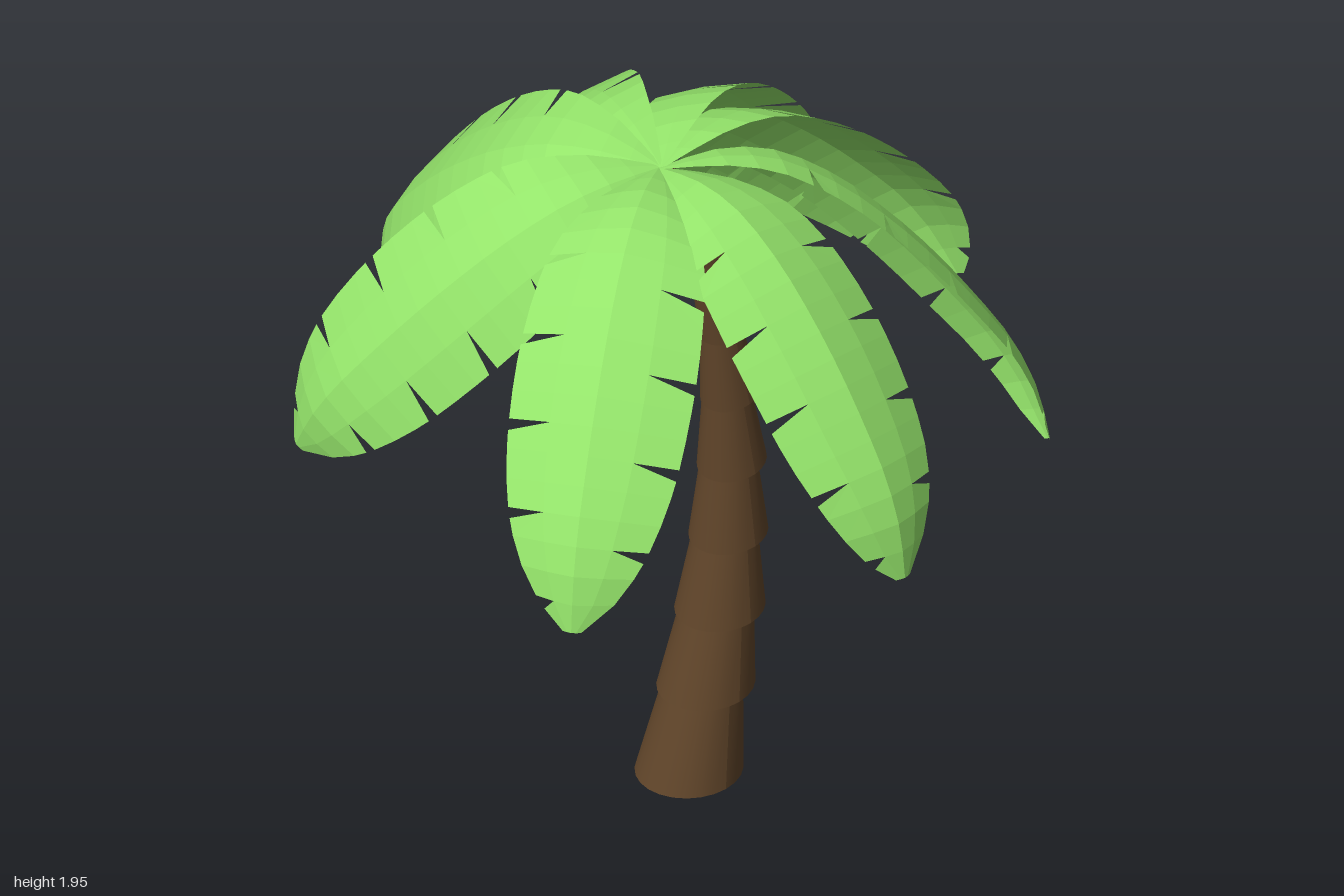
import * as THREE from 'three';

const bark = new THREE.MeshStandardMaterial({ color: 0x5f4429 });
const leaf = new THREE.MeshStandardMaterial({ color: 0x94e46a, flatShading: true, side: THREE.DoubleSide });
const DEG = Math.PI / 180;

// Trunk rings: bottom centre x, y, z, bottom radius, slope of the ring plane
const RINGS = [
  [-0.018, 0.008, 0.068, 0.143, 0.05],
  [0.04, 0.25, 0.07, 0.13, 0.08],
  [0.09, 0.47, 0.07, 0.12, 0.1],
  [0.12, 0.69, 0.07, 0.105, 0.13],
  [0.132, 0.905, 0.07, 0.092, 0.17],
  [0.125, 1.12, 0.07, 0.078, 0.22],
  [0.105, 1.33, 0.07, 0.066, 0.25],
  [0.065, 1.52, 0.065, 0.056, 0.3],
  [0.005, 1.7, 0.05, 0.047, 0.35],
  [-0.075, 1.88, 0.035, 0.04, 0.4],
];

// One tapered trunk section, sheared so that it runs from ring a to ring b
function trunkSection(a, b) {
  const geo = new THREE.CylinderGeometry(b[3] * 0.82, a[3], 1, 24);
  const pos = geo.attributes.position;
  const mix = THREE.MathUtils.lerp;
  for (let i = 0; i < pos.count; i++) {
    const x = pos.getX(i), z = pos.getZ(i), f = pos.getY(i) + 0.5;
    pos.setXYZ(i,
      mix(a[0], b[0] - 0.012, f) + x,
      mix(a[1], b[1] + 0.01, f) + x * mix(a[4], b[4], f),
      mix(a[2], b[2], f) + z);
  }
  geo.computeVertexNormals();
  return new THREE.Mesh(geo, bark);
}

// Midrib arc, leaving the crown along +z and drooping
const MIDRIB = new THREE.CatmullRomCurve3([
  [0, 0], [0.15, 0.03], [0.3, 0.015], [0.45, -0.06], [0.57, -0.155],
  [0.69, -0.275], [0.8, -0.41], [0.89, -0.54], [0.945, -0.67], [0.968, -0.81],
].map(([z, y]) => new THREE.Vector3(0, y, z)));

// Half width along the frond
const WIDTH = new THREE.CatmullRomCurve3([
  [0, 0.012], [0.1, 0.11], [0.25, 0.2], [0.42, 0.236], [0.58, 0.24],
  [0.72, 0.222], [0.85, 0.175], [0.95, 0.1], [1, 0.025],
].map(([t, w]) => new THREE.Vector3(t, w, 0)));

function halfWidth(t) {
  let lo = 0, hi = 1;
  for (let i = 0; i < 20; i++) {
    const mid = (lo + hi) / 2;
    if (WIDTH.getPoint(mid).x < t) lo = mid; else hi = mid;
  }
  return WIDTH.getPoint(lo).y;
}

// Point on the blade: t along the midrib, u from midrib (0) to edge (1)
function bladePoint(t, u, side) {
  const p = MIDRIB.getPointAt(t);
  const d = MIDRIB.getTangentAt(t);
  const w = halfWidth(t) * u;
  const drop = w * (0.16 + 0.15 * u);
  return [side * w * 0.98, p.y - d.z * drop, p.z + d.y * drop];
}

// Folded blade with wedge-shaped notches along both edges
function frondGeometry() {
  const rows = 18, split = 0.5, out = [];
  for (const side of [-1, 1]) {
    const quad = (a, b, c, d) => {
      const q = side > 0 ? [a, b, c, a, c, d] : [a, c, b, a, d, c];
      q.forEach((p) => out.push(...p));
    };
    const P = (t, u) => bladePoint(t, u, side);
    for (let i = 0; i < rows; i++) {
      const t0 = i / rows, t1 = (i + 1) / rows;
      const notched = i > 3 && (i + (side > 0 ? 0 : 1)) % 3 === 0;
      const edge = notched ? t0 + 0.022 : t0;
      quad(P(t0, 0), P(t1, 0), P(t1, split), P(t0, split));
      quad(P(t0, split), P(t1, split), P(t1, 1), P(edge, 1));
    }
  }
  const geo = new THREE.BufferGeometry();
  geo.setAttribute('position', new THREE.Float32BufferAttribute(out, 3));
  geo.computeVertexNormals();
  return geo;
}

// Fronds: yaw, pitch and roll in degrees, size
const FRONDS = [
  [0, 0, -1, 1], [64, 3, -29, 1.02], [111, 3, -29, 1.02], [140, 3, -29, 1.02],
  [176, 3, -29, 1.03], [204, 3, -29, 1.02], [256, 8, -30, 1], [304, 0, 0, 1.02],
];

export function createModel() {
  const model = new THREE.Group();
  model.name = 'palmTree';

  const trunk = new THREE.Group();
  trunk.name = 'trunk';
  for (let i = 0; i < RINGS.length - 1; i++) {
    const section = trunkSection(RINGS[i], RINGS[i + 1]);
    section.name = `trunkSection${i + 1}`;
    trunk.add(section);
  }
  model.add(trunk);

  const crown = new THREE.Group();
  crown.name = 'crown';
  crown.position.set(-0.09, 1.9, 0.03);
  const geo = frondGeometry();
  FRONDS.forEach(([yaw, pitch, roll, size], i) => {
    const frond = new THREE.Mesh(geo, leaf);
    frond.name = `frond${i + 1}`;
    frond.rotation.set(pitch * DEG, yaw * DEG, roll * DEG, 'YXZ');
    frond.scale.setScalar(size);
    crown.add(frond);
  });
  model.add(crown);
  return model;
}
